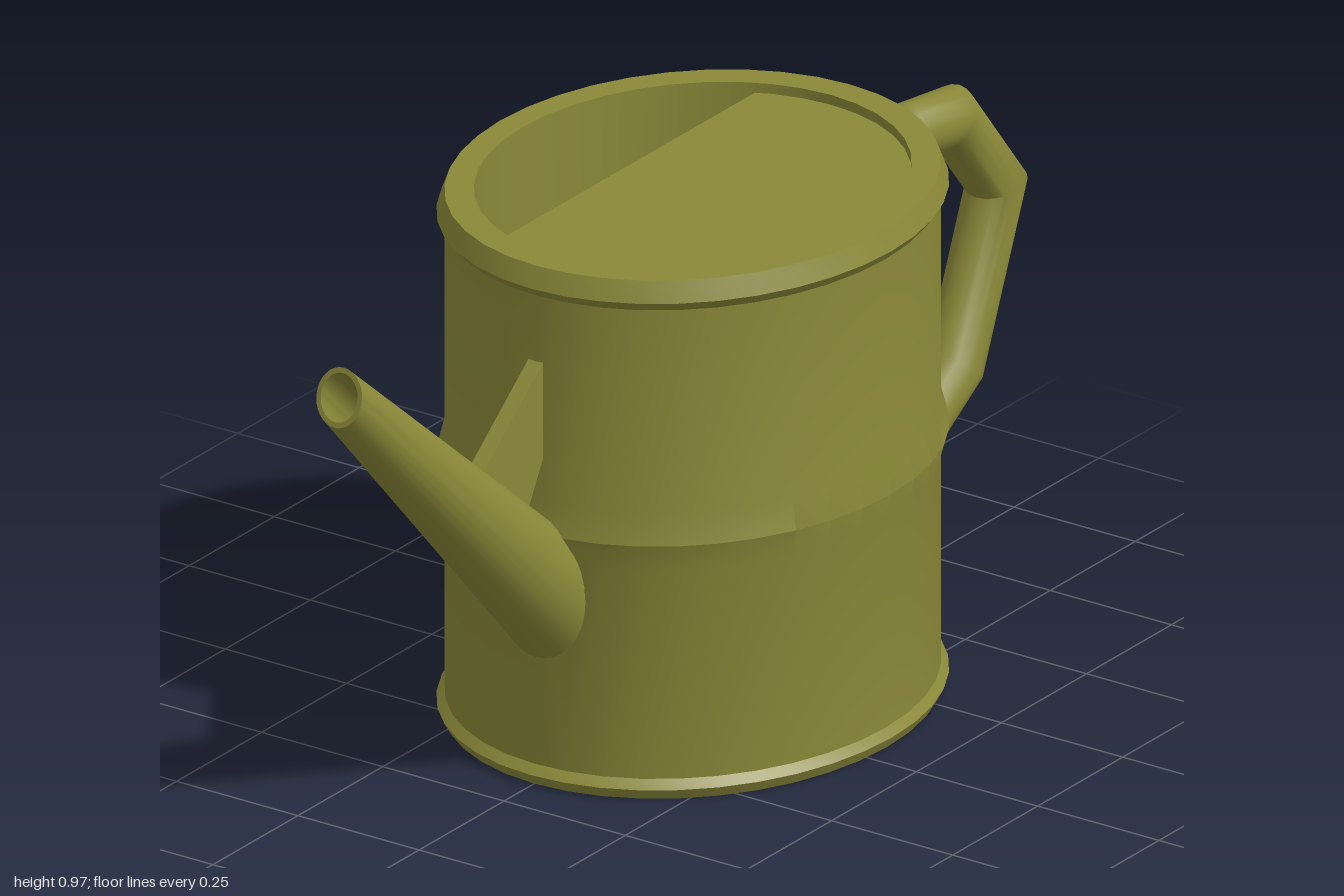
import * as THREE from 'three';
import { toCreasedNormals } from 'three/addons/utils/BufferGeometryUtils.js';

const material = new THREE.MeshStandardMaterial({ color: 0x8a8838 });
const BODY_Z = -0.055;      // centre of the oval body
const OVAL = 1.165;         // depth of the body relative to its width

function part(name, geometry, crease = 0.5) {
  const mesh = new THREE.Mesh(toCreasedNormals(geometry, crease), material);
  mesh.name = name;
  return mesh;
}

// Skin through elliptical rings lying across the x = 0 plane.
// ring: centre [z, y], half-axis u [z, y], rx = half-width in x
function loft(rings, sides) {
  const pos = [], index = [];
  rings.forEach(({ c, u, rx }, i) => {
    for (let j = 0; j < sides; j++) {
      const t = (j / sides) * Math.PI * 2;
      pos.push(rx * Math.sin(t), c[1] + u[1] * Math.cos(t), c[0] + u[0] * Math.cos(t));
      if (i === 0) continue;
      const k = (j + 1) % sides, p = (i - 1) * sides, q = i * sides;
      index.push(p + j, q + j, p + k, p + k, q + j, q + k);
    }
  });
  const g = new THREE.BufferGeometry();
  g.setAttribute('position', new THREE.Float32BufferAttribute(pos, 3));
  g.setIndex(index);
  g.computeVertexNormals();
  return g;
}

// Rings of a round bar along a [z, y] polyline, mitred at the bends
function mitredRings(path, r) {
  const dir = (a, b) => new THREE.Vector2(b[0] - a[0], b[1] - a[1]).normalize();
  return path.map((c, i) => {
    const before = dir(path[Math.max(i - 1, 0)], path[Math.max(i, 1)]);
    const last = path.length - 1;
    const after = dir(path[Math.min(i, last - 1)], path[Math.min(i + 1, last)]);
    const d = before.clone().add(after).normalize();
    const len = r / d.dot(before);
    return { c, u: [-d.y * len, d.x * len], rx: r };
  });
}

export function createModel() {
  const group = new THREE.Group();
  group.name = 'wateringCan';

  // Hollow oval body with rolled edges and a raised middle band
  const profile = [
    [0, 0], [0.4, 0], [0.41, 0.02], [0.397, 0.035], [0.397, 0.42], [0.41, 0.47],
    [0.397, 0.525], [0.397, 0.9], [0.41, 0.918], [0.397, 0.955],
    [0.35, 0.955], [0.35, 0.04], [0, 0.04],
  ].map(([x, y]) => new THREE.Vector2(x, y));
  const bodyGeometry = new THREE.LatheGeometry(profile, 40);
  bodyGeometry.scale(1, 1, OVAL);
  const body = part('body', bodyGeometry);
  body.position.z = BODY_Z;
  group.add(body);

  // Fixed lid, cut straight to leave a filling opening on one side
  const r = 0.352, a = Math.acos(-0.135 / r);
  const lidShape = new THREE.Shape().absellipse(0, 0, r, r * OVAL, -a, a, false);
  const lidGeometry = new THREE.ExtrudeGeometry(lidShape, { depth: 0.045, bevelEnabled: false, curveSegments: 32 });
  lidGeometry.rotateX(-Math.PI / 2);
  const lid = part('lid', lidGeometry);
  lid.position.set(0, 0.892, BODY_Z);
  group.add(lid);

  // Tapered open spout with an obliquely cut mouth
  group.add(part('spout', loft([
    { c: [0.38, 0.339], u: [0, 0.136], rx: 0.094 },
    { c: [0.985, 0.92], u: [-0.015, 0.05], rx: 0.046 },
    { c: [0.985, 0.92], u: [-0.012, 0.041], rx: 0.037 },
    { c: [0.41, 0.37], u: [0, 0.11], rx: 0.078 },
  ], 32)));

  // Flat brace between body and spout
  const braceShape = new THREE.Shape([
    [0.405, 0.78], [0.405, 0.605], [0.45, 0.525], [0.58, 0.63], [0.58, 0.642],
  ].map(([z, y]) => new THREE.Vector2(-z, y)));
  const braceGeometry = new THREE.ExtrudeGeometry(braceShape, { depth: 0.03, bevelEnabled: false });
  braceGeometry.translate(0, 0, -0.015);
  braceGeometry.rotateY(Math.PI / 2);
  group.add(part('brace', braceGeometry));

  // Bent round handle
  const handlePath = [
    [-0.48, 0.733], [-0.61, 0.76], [-0.695, 0.805], [-0.812, 0.79], [-0.947, 0.62],
    [-0.825, 0.325], [-0.685, 0.237], [-0.6, 0.217], [-0.48, 0.182],
  ];
  group.add(part('handle', loft(mitredRings(handlePath, 0.051), 20), 0.7));

  return group;
}
